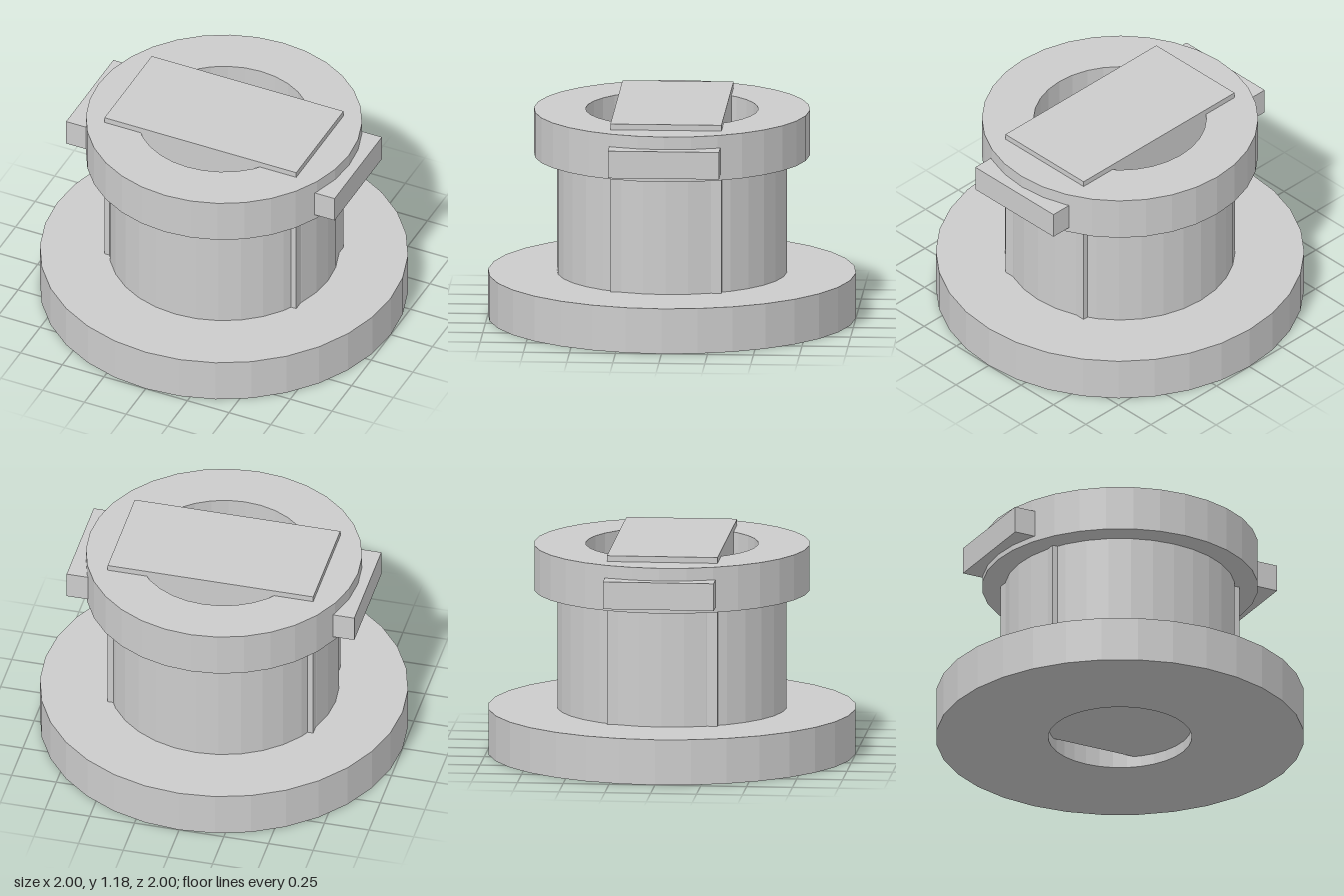
import * as THREE from 'three';

const SIDES = 32;

// Faceted ring with a bore, standing between heights y0 and y1
function ring(name, inner, outer, y0, y1, material) {
  const profile = [[inner, y0], [outer, y0], [outer, y1], [inner, y1], [inner, y0]]
    .map(([r, y]) => new THREE.Vector2(r, y));
  const mesh = new THREE.Mesh(new THREE.LatheGeometry(profile, SIDES), material);
  mesh.name = name;
  return mesh;
}

// Box given by its x and y ranges, with all boxes sharing one depth
function block(name, x0, x1, y0, y1, material) {
  const mesh = new THREE.Mesh(new THREE.BoxGeometry(x1 - x0, y1 - y0, 0.604), material);
  mesh.position.set((x0 + x1) / 2, (y0 + y1) / 2, 0);
  mesh.name = name;
  return mesh;
}

export function createModel() {
  const grey = new THREE.MeshStandardMaterial({ color: 0xcccccc, flatShading: true });
  grey.name = 'plain grey';

  const model = new THREE.Group();
  model.name = 'flangedBushing';

  // Round body: wide foot, narrower barrel, overhanging collar
  model.add(
    ring('baseFlange', 0.39, 1, 0, 0.25, grey),
    ring('barrel', 0.469, 0.625, 0.25, 0.9, grey),
    ring('topCollar', 0.469, 0.75, 0.9, 1.15, grey),
  );

  // Flat core slotted through the bore
  model.add(block('coreBlock', -0.575, 0.575, 0.0625, 1.182, grey));

  // Lugs sticking out of the collar on both sides
  model.add(
    block('leftLug', 0.56, 0.805, 0.93, 1.08, grey),
    block('rightLug', -0.805, -0.56, 0.93, 1.08, grey),
  );
  return model;
}
